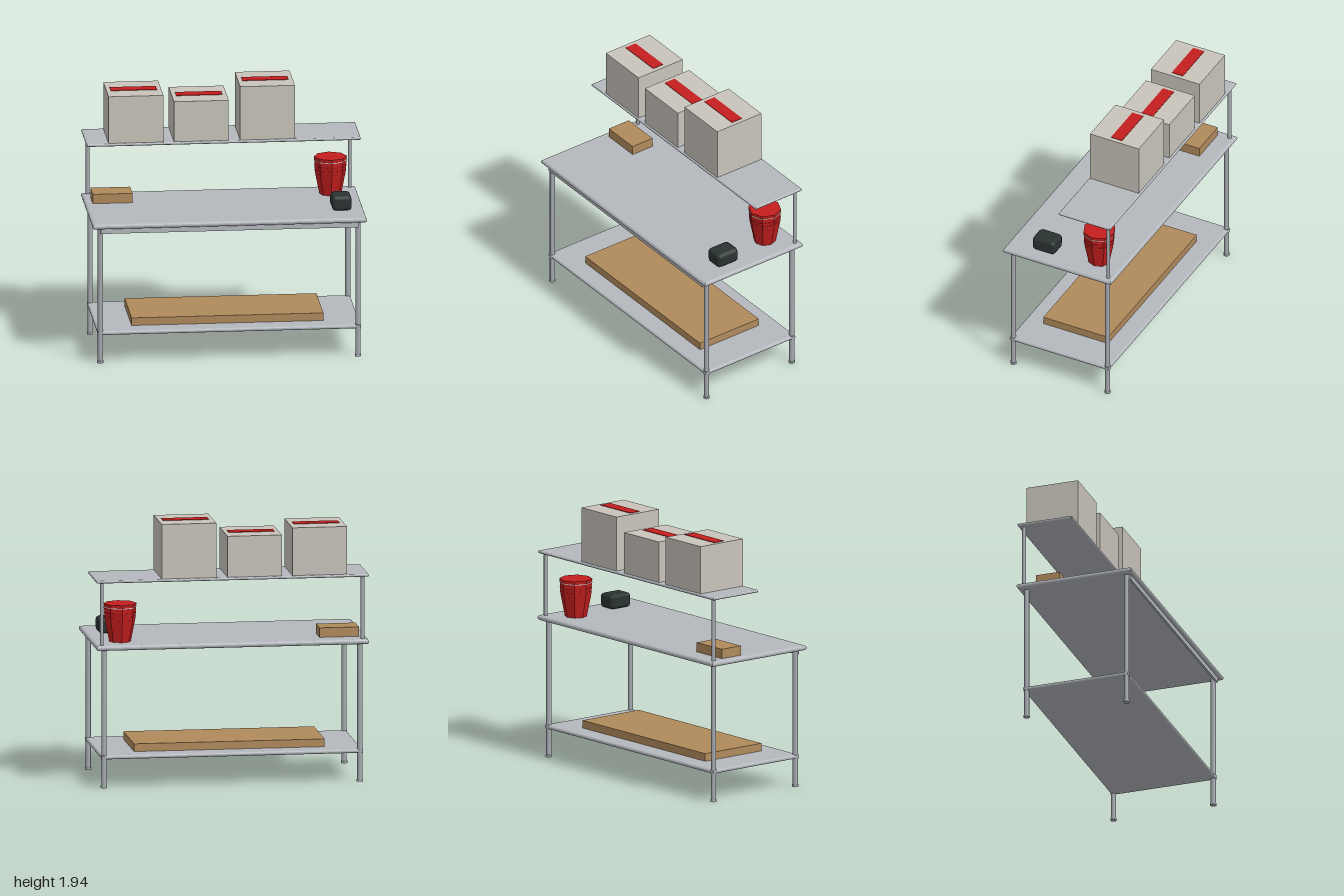
import * as THREE from 'three';
import { RoundedBoxGeometry } from 'three/addons/geometries/RoundedBoxGeometry.js';

const material = (name, color) => {
  const m = new THREE.MeshStandardMaterial({ color });
  m.name = name;
  return m;
};

export function createModel() {
  const group = new THREE.Group();
  const steel = material('brushed steel', 0xb4b8bd);
  const tube = material('tube steel', 0xa6abb1);
  const carton = material('pale carton', 0xc8c4bb);
  const red = material('red', 0xc41e1e);
  const wood = material('brown board', 0xb08a5c);
  const black = material('black', 0x2a3332);
  const white = material('white', 0xeeeeee);
  red.flatShading = white.flatShading = true;

  const add = (name, geometry, mat, x, y, z) => {
    const mesh = new THREE.Mesh(geometry, mat);
    mesh.name = name;
    mesh.position.set(x, y, z);
    group.add(mesh);
    return mesh;
  };

  // box given by its lower and upper limits
  const box = (name, mat, x0, x1, y0, y1, z0, z1) =>
    add(name, new THREE.BoxGeometry(x1 - x0, y1 - y0, z1 - z0), mat,
      (x0 + x1) / 2, (y0 + y1) / 2, (z0 + z1) / 2);

  // upright tube between two heights
  const post = (name, r, x, y0, y1, z) =>
    add(name, new THREE.CylinderGeometry(r, r, y1 - y0, 16), tube, x, (y0 + y1) / 2, z);

  // flat sheet with a rounded rim
  const sheet = (name, w, d, y0, y1, z) => {
    const r = (y1 - y0) / 2;
    const a = w / 2 - r, b = d / 2 - r;
    const shape = new THREE.Shape([[-a, -b], [a, -b], [a, b], [-a, b]]
      .map(([x, y]) => new THREE.Vector2(x, y)));
    const geometry = new THREE.ExtrudeGeometry(shape, {
      depth: 0.001, bevelThickness: r - 0.0005, bevelSize: r, bevelSegments: 4,
    });
    geometry.translate(0, 0, -0.0005).rotateX(-Math.PI / 2);
    add(name, geometry, steel, 0, (y0 + y1) / 2, z);
  };

  // table
  sheet('tableTop', 2, 0.885, 1.017, 1.055, 0);
  sheet('lowerShelf', 1.92, 0.81, 0.21, 0.24, 0);
  sheet('upperShelf', 2, 0.42, 1.514, 1.536, -0.225);
  box('frontRail', steel, -0.94, 0.94, 0.98, 1.02, 0.405, 0.42);
  for (const x of [-0.94, 0.94]) {
    for (const z of [-0.385, 0.385]) {
      post('leg', 0.019, x, 0, 1.03, z);
      post('foot', 0.023, x, 0, 0.016, z);
      post('shelfCollar', 0.022, x, 0.21, 0.24, z);
    }
    post('shelfPost', 0.014, Math.sign(x) * 0.957, 1.04, 1.52, -0.4);
  }

  // cartons with a tape strip on each lid
  for (const [x, top] of [[-0.64, 1.888], [-0.163, 1.838], [0.32, 1.938]]) {
    box('carton', carton, x - 0.2, x + 0.2, 1.536, top, -0.423, -0.025);
    box('cartonTape', red, x - 0.168, x + 0.168, top - 0.001, top + 0.004, -0.27, -0.18);
  }

  // boards
  box('largeBoard', wood, -0.7, 0.7, 0.24, 0.297, -0.265, 0.265);
  box('smallBoard', wood, -0.945, -0.655, 1.055, 1.125, -0.31, -0.13);

  // stack of eight-sided cups: one body with stepped rims
  const cupPart = (name, mat, r0, r1, y0, y1) =>
    add(name, new THREE.CylinderGeometry(r1, r0, y1 - y0, 8), mat, 0.8, (y0 + y1) / 2, -0.245);
  cupPart('cupBody', red, 0.08, 0.112, 1.055, 1.215);
  cupPart('cupRim', red, 0.111, 0.116, 1.213, 1.243);
  cupPart('cupRim', red, 0.113, 0.118, 1.243, 1.273);
  cupPart('cupRim', red, 0.115, 0.12, 1.273, 1.335);
  cupPart('cupStripe', white, 0.1205, 0.1208, 1.307, 1.312);

  // small device with chamfered edges
  add('blackDevice', new RoundedBoxGeometry(0.145, 0.11, 0.185, 1, 0.028), black, 0.838, 1.11, 0.16);

  return group;
}
